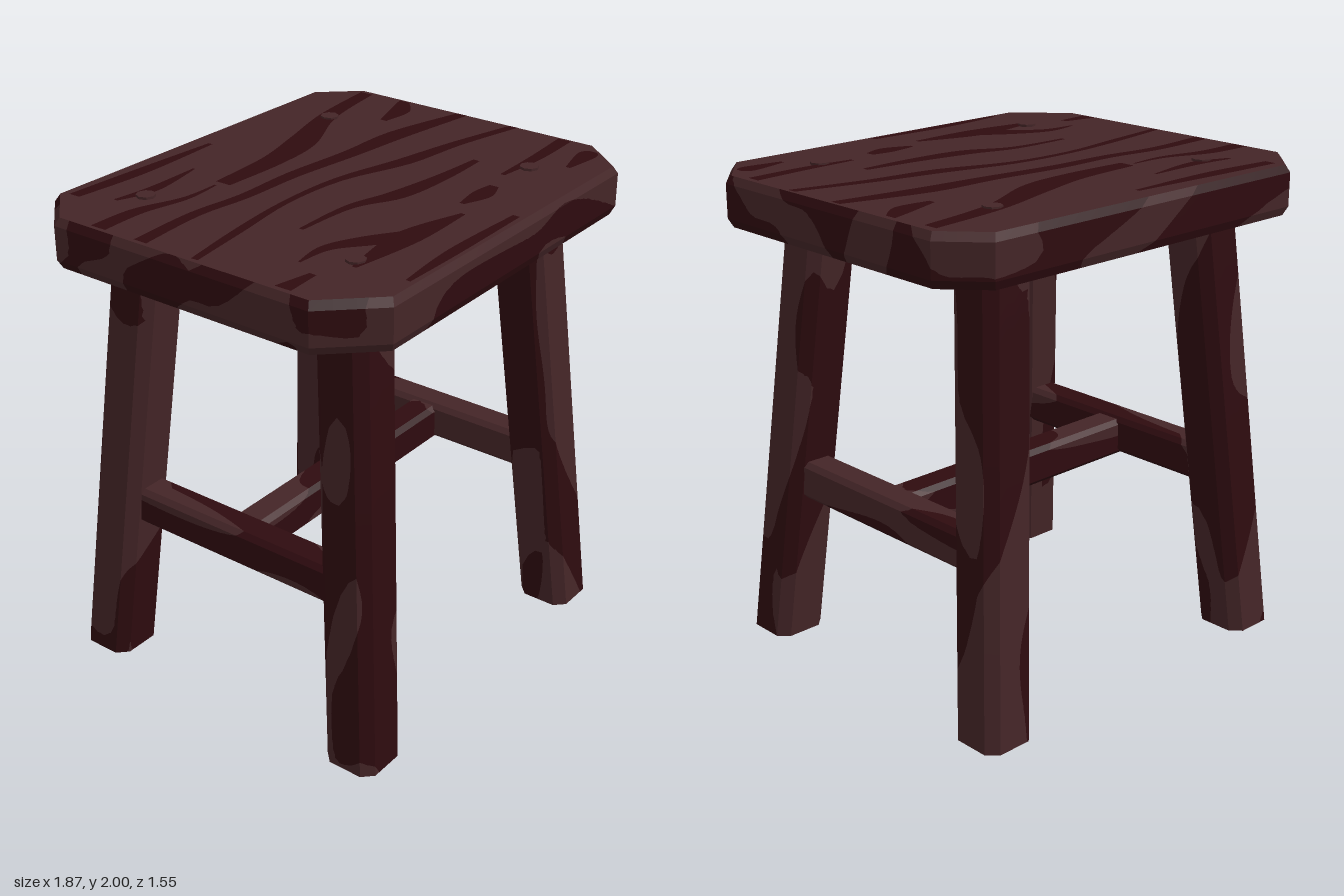
import * as THREE from 'three';

const wood = new THREE.MeshStandardMaterial({ color: 0x442527 });
wood.name = 'brown wood';
const grain = new THREE.MeshStandardMaterial({ color: 0x2e0b0f });
grain.name = 'dark grain';

const V = (x, y, z) => new THREE.Vector3(x, y, z);

// Wavy field stretched along the grain axis: positive is plain wood, negative is dark grain
function grainField(axis, seed) {
  return (p) => {
    const u = p[axis] + seed * 3.7;
    const v = (axis === 'x' ? p.y : p.x) + seed * 1.3;
    const w = axis === 'z' ? p.y : p.z;
    return Math.sin(15 * v + 2.2 * u + 2 * Math.sin(3.1 * u + 6 * w))
      + 0.9 * Math.sin(18 * w - 1.7 * u + 2 * Math.sin(2.3 * u + 5 * v))
      + 0.5 * Math.sin(7 * u + 11 * v - 13 * w) + 0.1;
  };
}

// Collects triangles in two colours, cutting them along the grain boundary
class Painter {
  constructor(field) {
    this.field = field;
    this.sets = [[], []];
  }
  add(set, ...points) {
    points.forEach((p) => this.sets[set].push(p.x, p.y, p.z));
  }
  triangle(...p) {
    const f = p.map(this.field);
    const s = f.map((n) => (n > 0 ? 0 : 1));
    if (s[0] === s[1] && s[1] === s[2]) return this.add(s[0], ...p);
    const i = s[1] === s[2] ? 0 : s[0] === s[2] ? 1 : 2;
    const j = (i + 1) % 3, k = (i + 2) % 3;
    const m = p[i].clone().lerp(p[j], f[i] / (f[i] - f[j]));
    const n = p[i].clone().lerp(p[k], f[i] / (f[i] - f[k]));
    this.add(s[i], p[i], m, n);
    this.add(s[j], m, p[j], p[k], m, p[k], n);
  }
  quad(a, b, c, d, step) {
    const nu = Math.ceil(a.distanceTo(b) / step), nv = Math.ceil(a.distanceTo(d) / step);
    const at = (i, j) => a.clone().lerp(b, i / nu).lerp(d.clone().lerp(c, i / nu), j / nv);
    for (let i = 0; i < nu; i++) {
      for (let j = 0; j < nv; j++) {
        this.triangle(at(i, j), at(i + 1, j), at(i + 1, j + 1));
        this.triangle(at(i, j), at(i + 1, j + 1), at(i, j + 1));
      }
    }
  }
  cap(ring, set) {
    for (let j = 1; j < ring.length - 1; j++) this.add(set, ring[0], ring[j], ring[j + 1]);
  }
  mesh(name) {
    const [a, b] = this.sets;
    const geo = new THREE.BufferGeometry();
    geo.setAttribute('position', new THREE.Float32BufferAttribute(a.concat(b), 3));
    geo.addGroup(0, a.length / 3, 0);
    geo.addGroup(a.length / 3, b.length / 3, 1);
    geo.computeVertexNormals();
    const mesh = new THREE.Mesh(geo, [wood, grain]);
    mesh.name = name;
    return mesh;
  }
}

// Skins a row of cross-sections and closes both ends
function loft(name, rings, axis, seed, startSet, endSet) {
  const painter = new Painter(grainField(axis, seed));
  for (let i = 0; i < rings.length - 1; i++) {
    const a = rings[i], b = rings[i + 1], n = a.length;
    for (let j = 0; j < n; j++) {
      const k = (j + 1) % n;
      painter.quad(a[j], a[k], b[k], b[j], 0.045);
    }
  }
  painter.cap([...rings[0]].reverse(), startSet);
  painter.cap(rings[rings.length - 1], endSet);
  return painter.mesh(name);
}

// Square beam with chamfered edges between two points
function beam(name, from, to, halfS, halfT, chamfer, axis, seed) {
  const s = halfS, t = halfT, c = chamfer;
  const section = [[s, c - t], [s, t - c], [s - c, t], [c - s, t],
    [-s, t - c], [-s, c - t], [c - s, -t], [s - c, -t]];
  const place = { x: (a, b) => V(0, a, b), y: (a, b) => V(b, 0, a), z: (a, b) => V(a, b, 0) }[axis];
  const rings = [from, to].map((o) => section.map(([a, b]) => place(a, b).add(o)));
  return loft(name, rings, axis, seed, 1, 0);
}

// Grain streaks on the seat top: [x, back edge z, front edge z]
const backStreaks = [
  [[-0.9, -0.24, -0.18], [-0.6, -0.25, -0.2], [-0.35, -0.22, -0.17], [-0.07, -0.22, -0.16], [0.25, -0.19, -0.12], [0.55, -0.18, -0.09], [0.91, -0.09, -0.04]],
  [[-0.9, 0.03, 0.06], [-0.6, -0.02, 0.02], [-0.3, -0.05, -0.02], [0, -0.04, 0], [0.3, 0.03, 0.1], [0.6, 0.09, 0.14], [0.91, 0.17, 0.21]],
  [[-0.3, -0.38, -0.31], [0, -0.4, -0.3], [0.25, -0.46, -0.33], [0.55, -0.54, -0.46], [0.89, -0.58, -0.52]],
  [[-0.9, -0.45, -0.38], [-0.7, -0.44, -0.38], [-0.5, -0.37, -0.34], [-0.33, -0.36, -0.35]],
  [[-0.67, -0.56, -0.54], [-0.5, -0.54, -0.49], [-0.25, -0.54, -0.53]],
  [[-0.73, -0.73, -0.68], [-0.4, -0.71, -0.65], [0, -0.68, -0.66]],
  [[0.65, -0.3, -0.27], [0.8, -0.35, -0.26], [0.9, -0.38, -0.33]],
];
const frontStreaks = [
  [[-0.47, 0.16, 0.18], [-0.2, 0.16, 0.2], [0, 0.21, 0.29], [0.25, 0.25, 0.31], [0.49, 0.27, 0.3]],
  [[-0.7, 0.34, 0.35], [-0.55, 0.32, 0.37], [-0.4, 0.38, 0.48], [-0.25, 0.48, 0.52]],
  [[-0.9, 0.4, 0.47], [-0.75, 0.43, 0.46]],
  [[-0.62, 0.51, 0.53], [-0.3, 0.46, 0.57], [0, 0.54, 0.56]],
  [[0.08, 0.48, 0.5], [0.2, 0.46, 0.54], [0.3, 0.47, 0.51]],
  [[0.42, 0.44, 0.46], [0.65, 0.43, 0.48], [0.9, 0.41, 0.47]],
  [[0.64, 0.6, 0.62], [0.8, 0.56, 0.64], [0.85, 0.58, 0.62]],
  [[-0.6, 0.72, 0.74], [-0.3, 0.69, 0.74], [0.1, 0.7, 0.73]],
];

function streak(points) {
  const edge = (i) => new THREE.SplineCurve(points.map((p) => new THREE.Vector2(p[0], -p[i]))).getPoints(24);
  const geo = new THREE.ShapeGeometry(new THREE.Shape([...edge(1), ...edge(2).reverse()]));
  geo.rotateX(-Math.PI / 2);
  const mesh = new THREE.Mesh(geo, grain);
  mesh.name = 'seatGrain';
  mesh.position.y = 1.993;
  return mesh;
}

export function createModel() {
  const stool = new THREE.Group();
  stool.name = 'stool';

  // Seat slab with cut corners and bevelled rims
  const outline = [[-0.74, 0.775], [0.78, 0.755], [0.935, 0.57], [0.935, -0.6],
    [0.79, -0.76], [-0.76, -0.78], [-0.93, -0.61], [-0.935, 0.57]];
  const seatRing = (y, k) => outline.map(([x, z]) => V(x * k, y, z * k));
  const seat = new THREE.Group();
  seat.name = 'seat';
  seat.add(loft('seatSlab',
    [seatRing(1.79, 0.98), seatRing(1.825, 1), seatRing(1.96, 1), seatRing(1.99, 0.98)], 'x', 1, 1, 0));
  [...backStreaks, ...frontStreaks].forEach((s) => seat.add(streak(s)));
  stool.add(seat);

  // Splayed legs, each with a round peg showing through the seat
  let seed = 2;
  for (const side of [-1, 1]) {
    for (const end of [-1, 1]) {
      const x = side < 0 ? -0.717 : 0.697;
      const foot = V(x, 0, end * 0.643);
      const head = V(x - side * 0.15, 1.85, end * 0.483);
      stool.add(beam(end > 0 ? 'frontLeg' : 'backLeg', foot, head, 0.115, 0.115, 0.042, 'y', seed++));
      const peg = new THREE.Mesh(new THREE.CylinderGeometry(0.038, 0.038, 0.02, 8).toNonIndexed(), wood);
      peg.geometry.computeVertexNormals();
      peg.name = 'peg';
      peg.position.set(x - side * 0.147, 1.99, end * 0.49);
      stool.add(peg);
    }
  }

  // Side rails joined by a cross rail
  for (const x of [-0.655, 0.64]) {
    stool.add(beam('sideRail', V(x, 0.71, -0.55), V(x, 0.71, 0.55), 0.07, 0.08, 0.02, 'z', seed++));
  }
  stool.add(beam('crossRail', V(-0.65, 0.7, 0), V(0.64, 0.7, 0), 0.08, 0.07, 0.02, 'x', seed));
  return stool;
}
